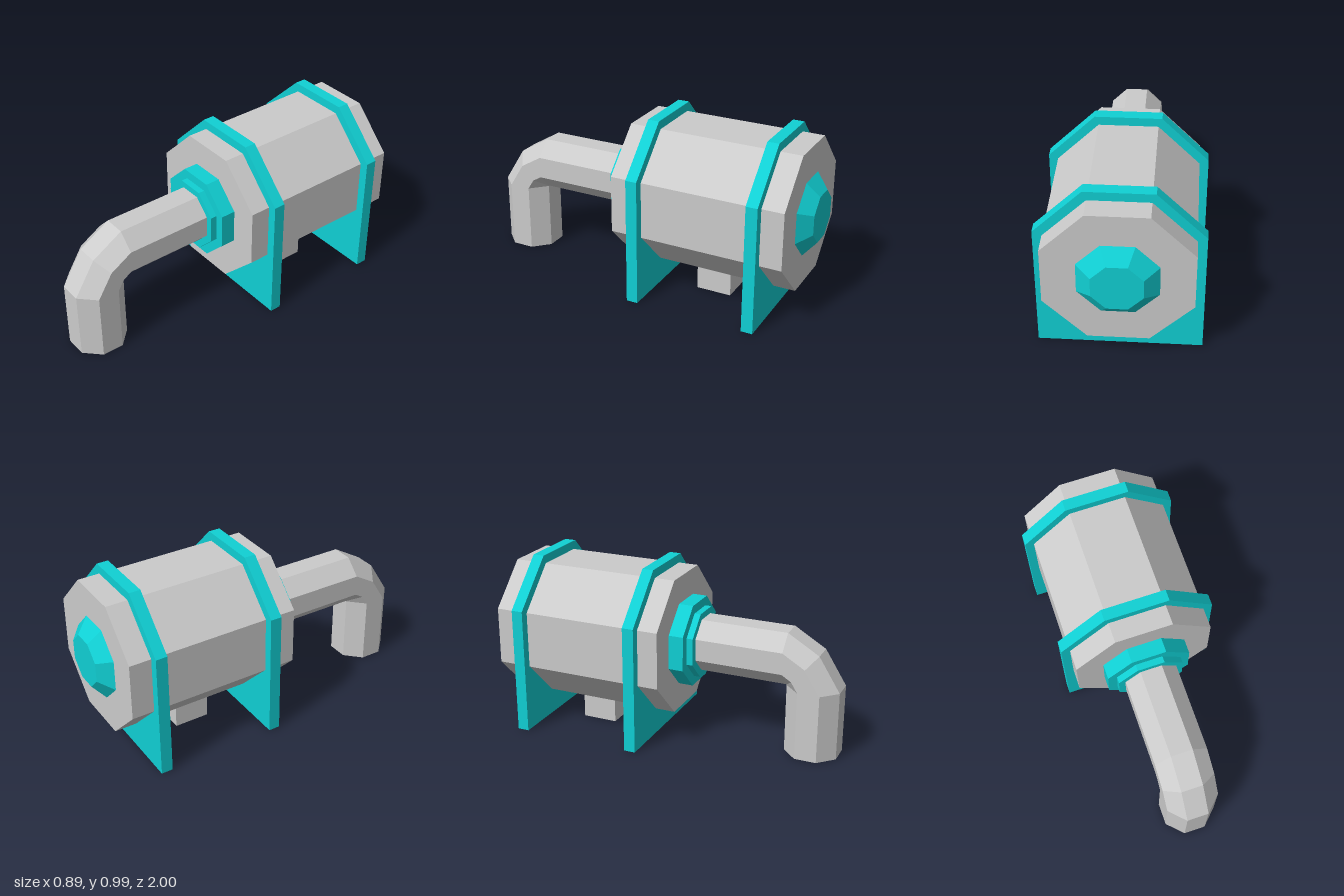
import * as THREE from 'three';

const AXIS_Y = 0.547;
const grey = new THREE.MeshStandardMaterial({ color: 0xcccccc, flatShading: true });
const cyan = new THREE.MeshStandardMaterial({ color: 0x10d0d4, flatShading: true });

// Circumradius of an octagon from its half width across flats
const octRadius = (half) => half / Math.cos(Math.PI / 8);

function add(group, name, geometry, material) {
  const mesh = new THREE.Mesh(geometry, material);
  mesh.name = name;
  group.add(mesh);
  return mesh;
}

// Octagonal prism or frustum along z, flats facing up and sideways
function octPrism(halfFront, halfBack, zFront, zBack) {
  const g = new THREE.CylinderGeometry(
    octRadius(halfFront), octRadius(halfBack), zFront - zBack, 8, 1, false, Math.PI / 8);
  g.rotateX(Math.PI / 2);
  g.translate(0, AXIS_Y, (zFront + zBack) / 2);
  return g;
}

// Support plate: octagonal top, square foot
function plateGeometry(zFront, depth) {
  const w = 0.443, f = w * Math.tan(Math.PI / 8), top = AXIS_Y + w;
  const shape = new THREE.Shape([
    [-w, 0], [w, 0], [w, AXIS_Y + f - 0.0], [f, top], [-f, top], [-w, AXIS_Y + f],
  ].map(([x, y]) => new THREE.Vector2(x, y)));
  const g = new THREE.ExtrudeGeometry(shape, { depth, bevelEnabled: false });
  g.translate(0, 0, zFront - depth);
  return g;
}

// Octagonal pipe running forward, then bending down about a pivot
function pipeGeometry() {
  const pivotY = 0.394, pivotZ = 0.696, half = 0.15, R = octRadius(half), n = 8;
  const rings = [
    (r) => [pivotY + r, 0.15],
    (r) => [pivotY + r, pivotZ],
    (r) => [pivotY + r * 0.645, pivotZ + r * 0.595],
    (r) => [pivotY, pivotZ + r],
    (r) => [0, pivotZ + r],
  ];
  const positions = [], index = [];
  for (const ring of rings) {
    for (let j = 0; j < n; j++) {
      const a = (j + 0.5) * 2 * Math.PI / n;
      const [y, z] = ring(half + 0.004 + R * Math.sin(a));
      positions.push(R * Math.cos(a), y, z);
    }
  }
  for (let i = 0; i < rings.length - 1; i++) {
    for (let j = 0; j < n; j++) {
      const a = i * n + j, b = i * n + (j + 1) % n;
      index.push(a, b, b + n, a, b + n, a + n);
    }
  }
  // End cap
  const e = (rings.length - 1) * n;
  for (let j = 1; j < n - 1; j++) index.push(e, e + j, e + j + 1);
  const g = new THREE.BufferGeometry();
  g.setAttribute('position', new THREE.Float32BufferAttribute(positions, 3));
  g.setIndex(index);
  const flat = g.toNonIndexed();
  flat.computeVertexNormals();
  return flat;
}

export function createModel() {
  const group = new THREE.Group();
  group.name = 'tankWithPipe';

  // Main tank
  add(group, 'tank', octPrism(0.393, 0.393, 0.07, -0.93), grey);

  // Two support plates
  for (const [name, z] of [['frontPlate', -0.047], ['backPlate', -0.739]]) {
    add(group, name, plateGeometry(z, 0.066), cyan);
  }

  // Stepped flange and outlet pipe
  add(group, 'largeFlange', octPrism(0.239, 0.239, 0.155, 0.05), cyan);
  add(group, 'smallFlange', octPrism(0.188, 0.188, 0.192, 0.13), cyan);
  add(group, 'outletPipe', pipeGeometry(), grey);

  // Tapered cap at the back
  add(group, 'backCap', octPrism(0.213, 0.134, -0.93, -1.0), cyan);

  // Foot block under the tank
  add(group, 'footBlock', new THREE.BoxGeometry(0.25, 0.2, 0.204), grey)
    .position.set(0, 0.1, -0.434);

  return group;
}
